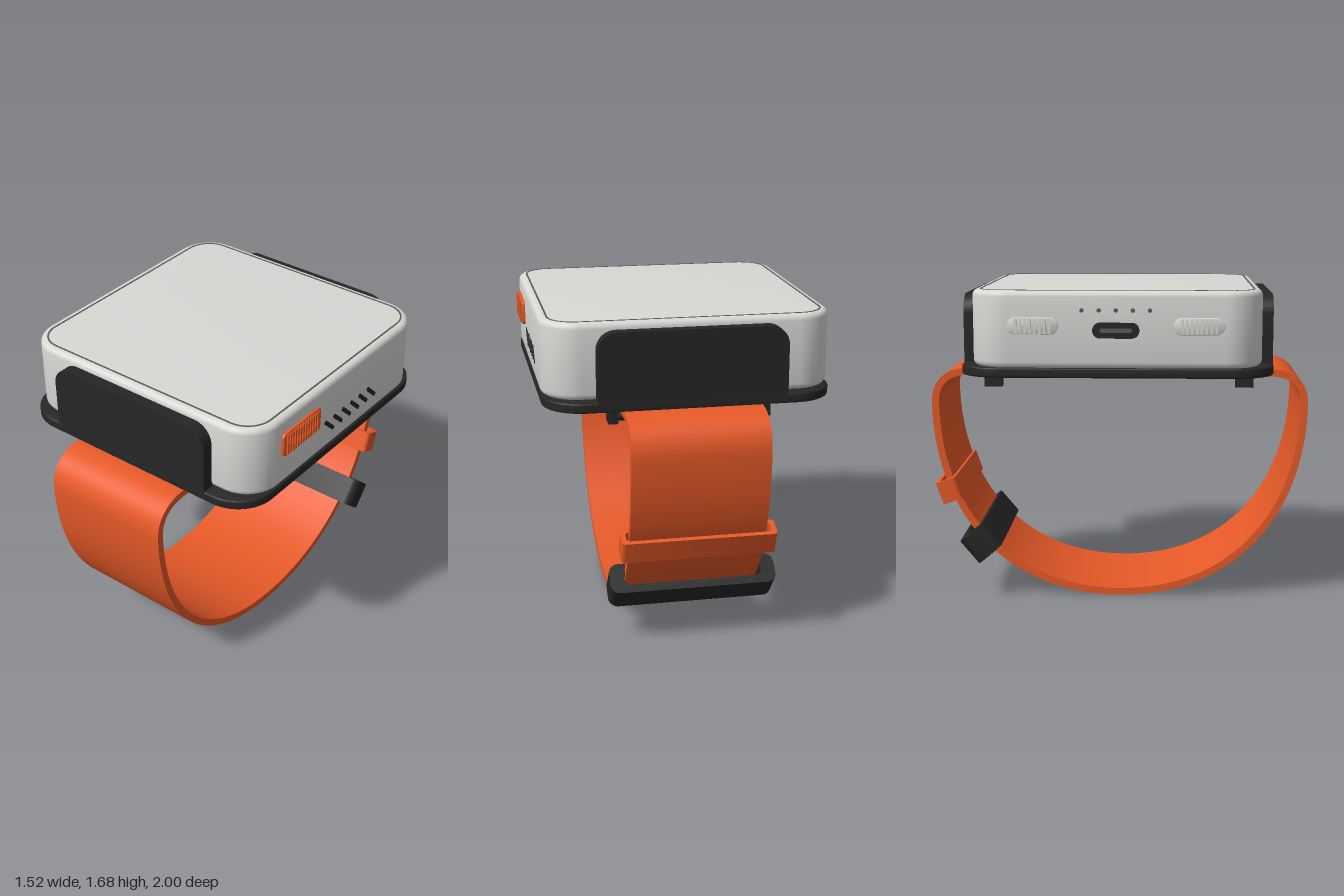
import * as THREE from 'three';
import { toCreasedNormals } from 'three/addons/utils/BufferGeometryUtils.js';

const mat = (name, color) => Object.assign(new THREE.MeshStandardMaterial({ color }), { name });

// Rounded rectangle centred on (cx, cy); works as a Shape or a hole Path
function roundRect(w, h, r, cx = 0, cy = 0, Type = THREE.Shape) {
  const s = new Type(), x = w / 2 - r, y = h / 2 - r;
  s.absarc(cx + x, cy + y, r, 0, Math.PI / 2);
  s.absarc(cx - x, cy + y, r, Math.PI / 2, Math.PI);
  s.absarc(cx - x, cy - y, r, Math.PI, Math.PI * 1.5);
  s.absarc(cx + x, cy - y, r, Math.PI * 1.5, Math.PI * 2);
  s.closePath();
  return s;
}

// Extrusion centred on its depth, with optional rounded edge
function extrude(shape, depth, bevel = 0, segments = 12) {
  const g = new THREE.ExtrudeGeometry(shape, {
    depth: depth - 2 * bevel, curveSegments: segments, bevelEnabled: bevel > 0,
    bevelSize: bevel, bevelThickness: bevel, bevelOffset: -bevel, bevelSegments: 4,
  });
  g.translate(0, 0, -(depth - 2 * bevel) / 2);
  return toCreasedNormals(g, 0.6);
}
// Shape drawn in (x, z), thickness along y
const slab = (shape, h, bevel) => extrude(shape, h, bevel).rotateX(Math.PI / 2);
// Shape drawn in (z, y), thickness along x
const sidePlate = (shape, d, bevel, seg) => extrude(shape, d, bevel, seg).rotateY(-Math.PI / 2);

export function createModel() {
  const shellMat = mat('light grey shell', 0xd8d8d5);
  const blackMat = mat('black plastic', 0x262626);
  const orangeMat = mat('orange strap', 0xe85a28);
  const grooveMat = mat('groove grey', 0x5c5c5c);

  const root = new THREE.Group();
  const model = new THREE.Group();
  model.name = 'wristDevice';
  model.position.x = -0.005;
  root.add(model);
  const add = (name, geo, material, x = 0, y = 0, z = 0, parent = model) => {
    const m = new THREE.Mesh(geo, material);
    m.name = name;
    m.position.set(x, y, z);
    parent.add(m);
    return m;
  };

  // Case with softened edges, and the fine groove around the top panel
  add('case', slab(roundRect(1.476, 1.476, 0.19), 0.388, 0.03), shellMat, 0, 1.487);
  const groove = roundRect(1.4, 1.4, 0.14);
  groove.holes.push(roundRect(1.382, 1.382, 0.131, 0, 0, THREE.Path));
  add('topGroove', slab(groove, 0.004), grooveMat, 0, 1.681);

  // Cradle: base plate, end plates, lugs and strap bars
  add('basePlate', slab(roundRect(1.476, 1.6, 0.21), 0.05, 0.008), blackMat, 0, 1.27);
  const end = new THREE.Shape();
  end.moveTo(-0.48, 1.25);
  end.lineTo(0.48, 1.25);
  end.absarc(0.38, 1.545, 0.1, 0, Math.PI / 2);
  end.absarc(-0.38, 1.545, 0.1, Math.PI / 2, Math.PI);
  end.closePath();
  for (const s of [-1, 1]) {
    add('endPlate', extrude(end, 0.066), blackMat, 0, 0, s * 0.767);
    for (const k of [-1, 1]) {
      add('strapLug', new THREE.BoxGeometry(0.05, 0.095, 0.095), blackMat, k * 0.39, 1.203, s * 0.66);
    }
    const bar = new THREE.CylinderGeometry(0.022, 0.022, 0.78, 16).rotateZ(Math.PI / 2);
    add('strapBar', bar, blackMat, 0, 1.182, s * 0.66);
  }

  // Strap: closed loop drawn in (z, y), offset both ways for its thickness
  const V = (x, y) => new THREE.Vector2(x, y);
  const lower = new THREE.CubicBezierCurve(V(0, 0.02), V(0.56, 0.02), V(0.97, 0.4), V(0.982, 1.05));
  const corner = new THREE.CubicBezierCurve(V(0.982, 1.05), V(0.985, 1.16), V(0.92, 1.226), V(0.8, 1.226));
  const half = [...lower.getPoints(36), ...corner.getPoints(14).slice(1)];
  const path = [...half, ...half.slice(1).reverse().map((p) => V(-p.x, p.y))];
  const offset = (d) => path.map((p, i) => {
    const n = path.length, a = path[(i + n - 1) % n], b = path[(i + 1) % n];
    const t = b.clone().sub(a).normalize();
    return V(p.x + t.y * d, p.y - t.x * d);
  });
  const strap = new THREE.Shape(offset(0.019));
  strap.holes.push(new THREE.Path(offset(-0.019)));
  add('strap', sidePlate(strap, 0.7), orangeMat);

  // Keeper loop and buckle: frames threaded on the rear of the strap
  const frame = (w, h, r, hw, hh) => {
    const s = roundRect(w, h, r);
    s.holes.push(roundRect(hw, hh, Math.min(r, hh / 2 - 0.002), 0, 0, THREE.Path));
    return s;
  };
  add('strapKeeper', extrude(frame(0.79, 0.112, 0.02, 0.74, 0.066), 0.122), orangeMat,
    0, 0.583, -0.913).rotation.x = 1.235;
  add('buckle', extrude(frame(0.866, 0.165, 0.05, 0.72, 0.075), 0.156), blackMat,
    0, 0.297, -0.745).rotation.x = 0.876;

  // Ribbed button on a side face; dir is the side it faces
  const button = (name, material, dir, y, z, w, h, r, ribs) => {
    const g = new THREE.Group();
    g.name = name;
    g.position.set(dir * 0.738, y, z);
    model.add(g);
    add(name + 'Pad', sidePlate(roundRect(w, h, r), 0.03, 0.003), material, 0, 0, 0, g);
    const span = w - 2 * Math.max(r * 0.75, 0.015);
    for (let i = 0; i < ribs; i++) {
      const rib = new THREE.BoxGeometry(0.018, h * 0.86, (span / ribs) * 0.5);
      add(name + 'Rib', rib, material, dir * 0.014, 0, ((i + 0.5) / ribs - 0.5) * span, g);
    }
  };
  button('mainButton', orangeMat, 1, 1.53, 0.372, 0.312, 0.13, 0.025, 13);
  for (const s of [-1, 1]) button('sideButton', shellMat, -1, 1.507, s * 0.415, 0.255, 0.085, 0.042, 8);

  // Slanted vent slots beside the main button
  const slot = sidePlate(roundRect(0.116, 0.022, 0.011), 0.006, 0, 6);
  for (let i = 0; i < 6; i++) {
    add('ventSlot', slot, blackMat, 0.738, 1.424, 0.115 - i * 0.077).rotation.x = -0.76;
  }

  // Charging port with rim, dark opening and tongue, and indicator holes above
  const rim = frame(0.27, 0.115, 0.057, 0.235, 0.08);
  add('portRim', sidePlate(rim, 0.01), shellMat, -0.738, 1.485);
  add('portOpening', sidePlate(roundRect(0.235, 0.08, 0.039), 0.006), blackMat, -0.737, 1.485);
  add('portTongue', sidePlate(roundRect(0.16, 0.024, 0.01), 0.008), grooveMat, -0.738, 1.485);
  const dot = new THREE.CylinderGeometry(0.011, 0.011, 0.006, 12).rotateZ(Math.PI / 2);
  for (let i = -2; i <= 2; i++) add('indicatorHole', dot, grooveMat, -0.738, 1.585, i * 0.085);

  return root;
}
